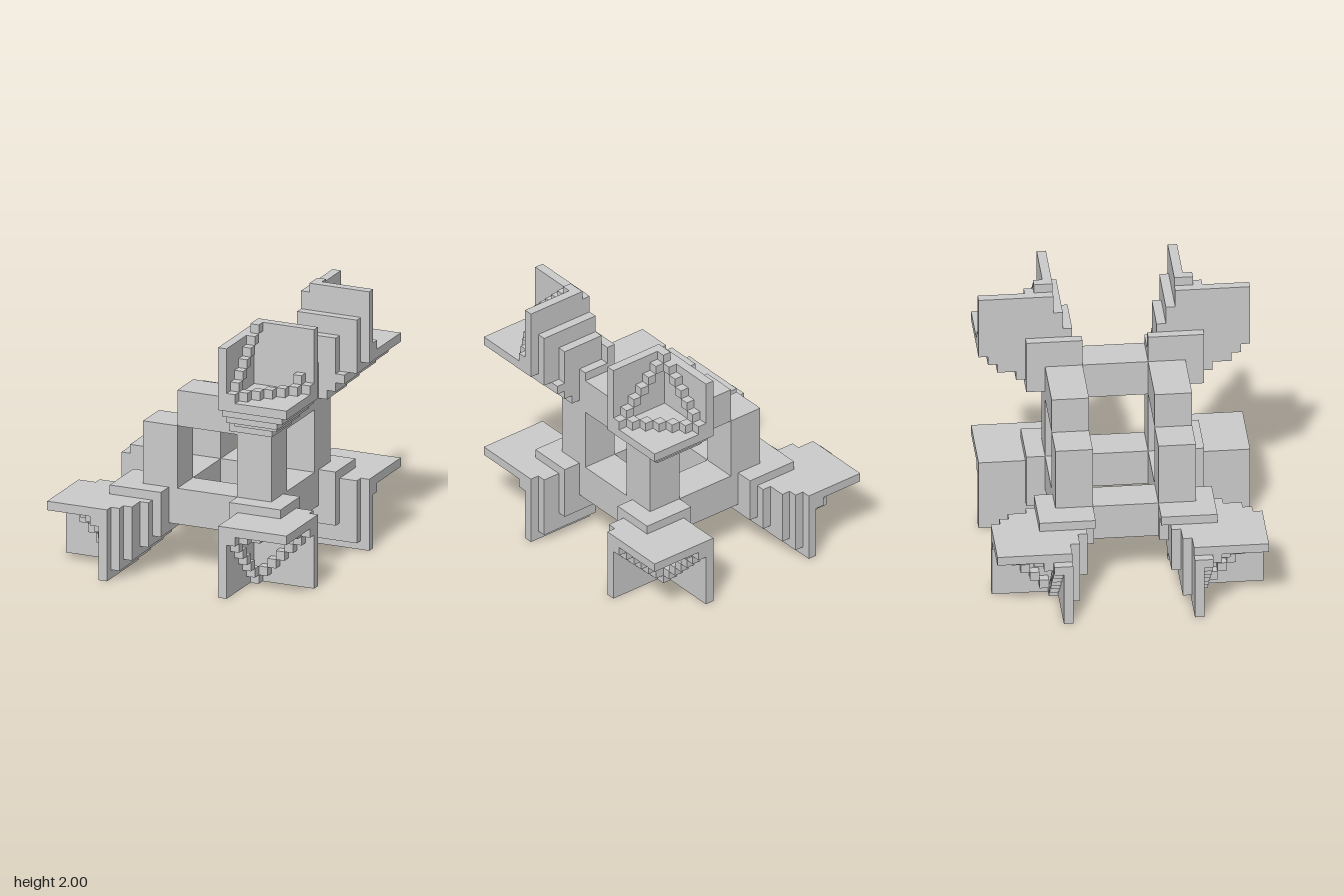
import * as THREE from 'three';
import { mergeGeometries } from 'three/addons/utils/BufferGeometryUtils.js';

// Everything sits on a grid of 29 cells per side
const N = 29, U = 2 / N;
const material = new THREE.MeshStandardMaterial({ color: 0xcccccc, flatShading: true });

// A block is [x0, x1, y0, y1, z0, z1] in grid cells
const same = b => b;
const mirrorZ = ([a, b, c, d, e, f]) => [a, b, c, d, N - f, N - e];
const swapXY = ([a, b, c, d, e, f]) => [N - d, N - c, N - b, N - a, e, f];
const cell = (x, y, z) => [x, x + 1, y, y + 1, z, z + 1];

function blockMesh(name, blocks) {
  const parts = blocks.map(([x0, x1, y0, y1, z0, z1]) =>
    new THREE.BoxGeometry((x1 - x0) * U, (y1 - y0) * U, (z1 - z0) * U).translate(
      (x0 + x1) / 2 * U - 1, (y0 + y1) / 2 * U, (z0 + z1) / 2 * U - 1));
  const mesh = new THREE.Mesh(mergeGeometries(parts), material);
  mesh.name = name;
  return mesh;
}

// Stepped plates of the upper cup, from the outermost to the frame
const upperPlates = [
  [21, 29, 21, 22, 21, 29], [21, 28, 20, 21, 20, 28], [21, 27, 19, 20, 19, 27],
  [21, 26, 18, 19, 19, 25], [20, 25, 17, 18, 19, 24],               // floors
  [22, 29, 21, 29, 21, 22], [21, 28, 20, 26, 20, 21],
  [21, 26, 18, 24, 19, 20], [20, 24, 17, 21, 18, 19],               // z walls
  [21, 22, 21, 28, 21, 29], [20, 21, 17, 23, 18, 24],               // x walls
];

// Stepped plates of the lower cup
const lowerPlates = [
  [21, 29, 7, 8, 21, 29], [20, 26, 8, 9, 19, 24],                   // roofs
  [21, 29, 0, 8, 21, 22], [21, 28, 1, 8, 20, 21], [20, 26, 3, 9, 19, 20], // z walls
  [21, 22, 0, 8, 21, 29], [20, 21, 3, 9, 19, 24],                   // x walls
];

// Chains of small cubes running diagonally across the three inner faces
function upperCubes(full) {
  const cubes = [];
  for (let k = 0; k < 7; k++) {
    cubes.push(cell(22, 22 + k, 28 - k), cell(22 + k, 22, 28 - k));
    if (full || k === 5) cubes.push(cell(22 + k, 28 - k, 22));
  }
  return cubes;
}

function lowerCubes() {
  const cubes = [];
  for (let k = 0; k < 7; k++)
    cubes.push(cell(22 + k, k, 22), cell(22, k, 22 + k), cell(22 + k, 6, 28 - k));
  return cubes;
}

function cup(name, plates, cubes, place) {
  const group = new THREE.Group();
  group.name = name;
  group.add(blockMesh('steppedPlates', plates.map(place)));
  group.add(blockMesh('cubeChain', cubes.map(place)));
  return group;
}

export function createModel() {
  const model = new THREE.Group();
  model.name = 'cubeFrameWithCups';

  // Open cube frame, with the upper edge on the -x side left out
  const sideFrame = [
    [9, 24, 5, 9, 18, 22],    // lower beam
    [9, 13, 9, 16, 18, 22],   // short post
    [20, 24, 9, 20, 18, 22],  // tall post
    [13, 20, 16, 20, 18, 22], // upper beam
  ];
  model.add(blockMesh('frontFrame', sideFrame));
  model.add(blockMesh('backFrame', sideFrame.map(mirrorZ)));
  model.add(blockMesh('crossBeams', [
    [9, 13, 5, 9, 11, 18], [20, 24, 5, 9, 11, 18], [20, 24, 16, 20, 11, 18],
  ]));

  // Six corner cups
  for (const [end, flip] of [['front', same], ['back', mirrorZ]]) {
    model.add(cup(end + 'UpperLeftCup', upperPlates, upperCubes(end === 'back'), flip));
    model.add(cup(end + 'LowerLeftCup', lowerPlates, lowerCubes(), flip));
    model.add(cup(end + 'LowerRightCup', upperPlates, upperCubes(true), b => flip(swapXY(b))));
  }
  return model;
}
